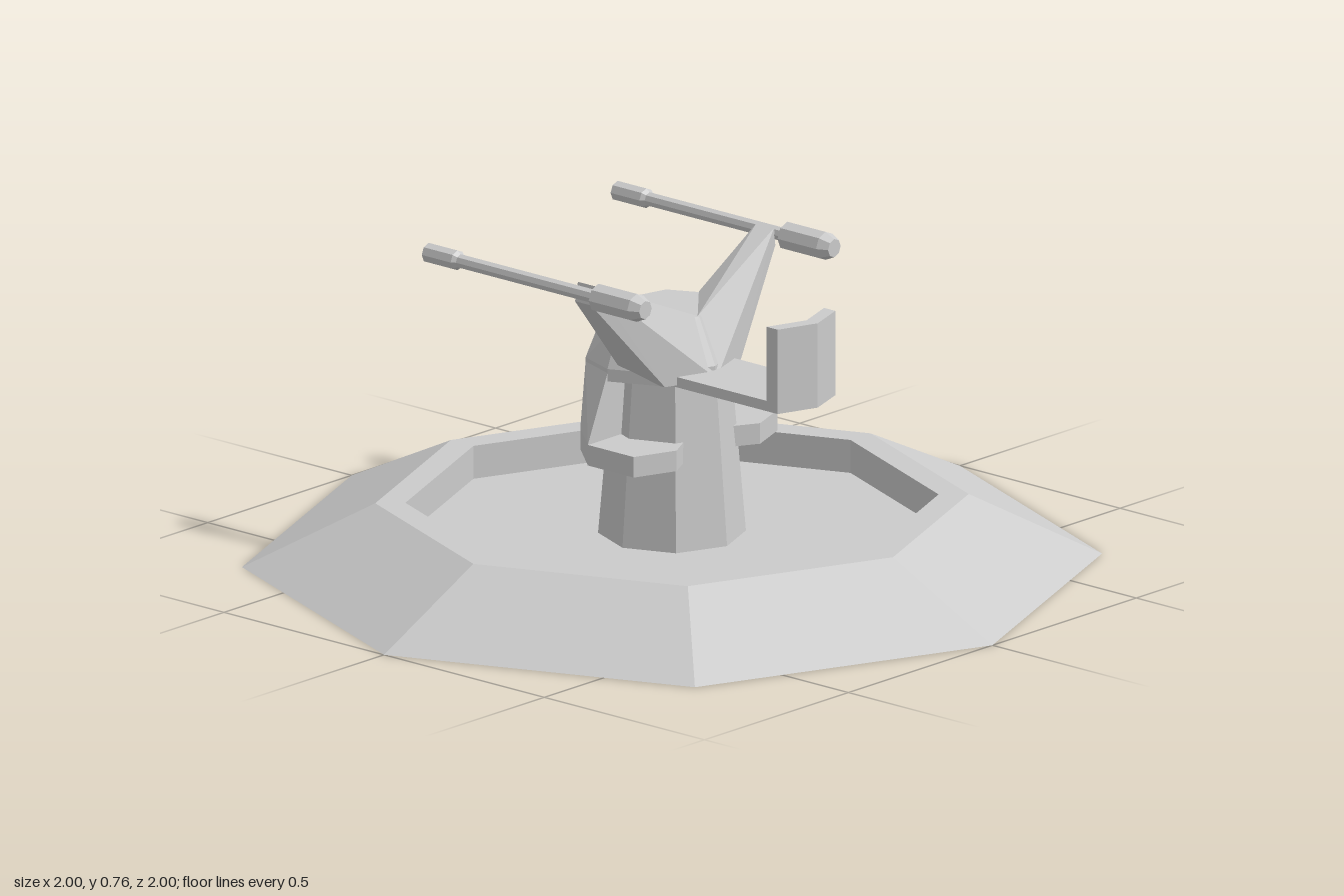
import * as THREE from 'three';
import { ConvexGeometry } from 'three/addons/geometries/ConvexGeometry.js';

const material = new THREE.MeshStandardMaterial({ color: 0xcccccc, flatShading: true });

function part(name, geometry, parent) {
  const mesh = new THREE.Mesh(geometry, material);
  mesh.name = name;
  parent.add(mesh);
  return mesh;
}

// Eight-sided solid turned from [radius, height] pairs
function turned(profile) {
  return new THREE.LatheGeometry(profile.map(([r, y]) => new THREE.Vector2(r, y)), 8);
}

// Faceted solid around corner points, s flips it to the other side
function hull(points, s = 1) {
  return new ConvexGeometry(points.map(([x, y, z]) => new THREE.Vector3(s * x, y, z)));
}

// Plan outline of [x, z] pairs raised from y0 to y1
function slab(outline, y0, y1) {
  const shape = new THREE.Shape(outline.map(([x, z]) => new THREE.Vector2(x, -z)));
  const geometry = new THREE.ExtrudeGeometry(shape, { depth: y1 - y0, bevelEnabled: false });
  return geometry.rotateX(-Math.PI / 2).translate(0, y0, 0);
}

export function createModel() {
  const model = new THREE.Group();
  model.name = 'gunTurret';

  // Sloped octagonal emplacement with a sunken floor
  part('base', turned([[0, 0], [1, 0], [0.69, 0.15], [0.62, 0.15], [0.62, 0.07], [0, 0.07]]), model);

  // Tapered pedestal
  part('pedestal', turned([[0.172, 0.07], [0.138, 0.47], [0, 0.47]]), model);

  // Faceted head: lower band and narrower roof
  const band = [[0, -0.185], [0.15, -0.135], [0.185, -0.035], [0.13, 0.085], [0, 0.135]];
  const roof = [[0, -0.14], [0.107, -0.115], [0.15, -0.03], [0.1, 0.045], [0, 0.085]];
  const headPoints = [];
  for (const s of [1, -1]) {
    for (const [x, z] of band) headPoints.push([s * x, 0.47, z], [s * x, 0.5, z]);
    for (const [x, z] of roof) headPoints.push([s * x, 0.61, z]);
  }
  part('head', hull(headPoints), model);

  // Gunner's platform with a folded shield at its front edge
  part('platform', slab([[-0.1, 0], [-0.1, 0.42], [0, 0.455], [0.1, 0.42], [0.1, 0]], 0.465, 0.49), model);
  part('shield', slab([[-0.1, 0.385], [-0.1, 0.42], [0, 0.455], [0.1, 0.42], [0.1, 0.385], [0, 0.42]], 0.465, 0.67), model);

  for (const s of [1, -1]) {
    const side = new THREE.Group();
    side.name = s > 0 ? 'leftSide' : 'rightSide';
    model.add(side);

    // Swept arm carrying the gun
    part('gunArm', hull([
      [0.31, 0.745, -0.015], [0.31, 0.745, 0.04], [0.32, 0.7, -0.015], [0.32, 0.7, 0.035],
      [0, 0.61, 0.08], [0.1, 0.625, 0.045], [0.11, 0.625, -0.015],
      [0, 0.47, 0.14], [0.13, 0.47, 0.095], [0.14, 0.47, -0.015],
    ], s), side);

    // Flared armour hanging from the head
    part('sideArmour', hull([
      [0.185, 0.49, -0.035], [0.15, 0.49, -0.135], [0.11, 0.49, -0.035],
      [0.25, 0.33, -0.038], [0.165, 0.33, -0.138], [0.11, 0.33, -0.038],
      [0.25, 0.28, -0.038], [0.165, 0.28, -0.138], [0.11, 0.28, -0.038],
    ], s), side);

    // Foot rest in front of the armour
    part('footRest', hull([0.28, 0.33].flatMap((y) => [
      [0.08, y, -0.038], [0.25, y, -0.038], [0.25, y, 0.105], [0.145, y, 0.145], [0.08, y, 0.11],
    ]), s), side);

    // Gun: hollow muzzle, thin barrel and thick breech with a bevelled end
    const gun = part('gun', turned([
      [0, -0.4], [0.015, -0.4], [0.015, -0.465], [0.024, -0.465], [0.024, -0.375],
      [0.017, -0.365], [0.017, 0.06], [0.034, 0.065], [0.034, 0.185], [0.022, 0.212], [0, 0.212],
    ]).rotateX(Math.PI / 2), side);
    gun.position.set(s * 0.328, 0.727, 0);
  }
  return model;
}
